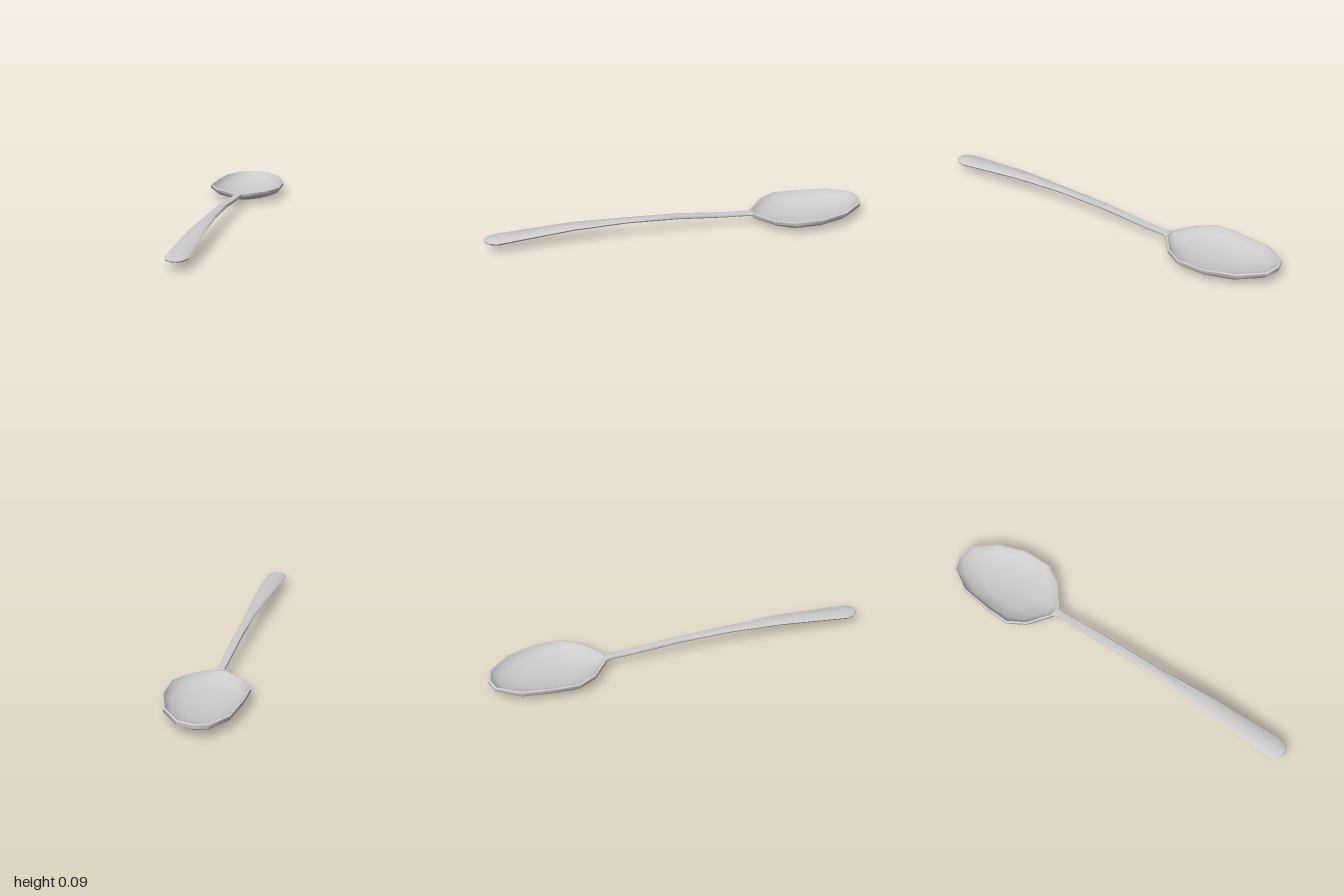
import * as THREE from 'three';
import { toCreasedNormals } from 'three/addons/utils/BufferGeometryUtils.js';

const material = new THREE.MeshStandardMaterial({ color: 0xcccccc });

// Skin a list of equal-length rings; a ring of identical points closes an end.
function loft(name, rings, crease) {
  const n = rings[0].length;
  const index = [];
  const same = (p, q) => p.every((v, k) => v === q[k]);
  for (let i = 0; i < rings.length - 1; i++) {
    for (let j = 0; j < n; j++) {
      const k = (j + 1) % n;
      const a = i * n + j, b = i * n + k, c = a + n, d = b + n;
      if (!same(rings[i][j], rings[i][k])) index.push(a, c, b);
      if (!same(rings[i + 1][j], rings[i + 1][k])) index.push(b, c, d);
    }
  }
  const geometry = new THREE.BufferGeometry();
  geometry.setAttribute('position', new THREE.Float32BufferAttribute(rings.flat(2), 3));
  geometry.setIndex(index);
  const mesh = new THREE.Mesh(toCreasedNormals(geometry, crease), material);
  mesh.name = name;
  return mesh;
}

// Bowl: one rim outline, shrunk and lowered for the outside, then the inside.
function createBowl() {
  const centreZ = -0.67;
  // x, z, rim height
  const rim = [
    [-0.03, -1, 0.075], [0.05, -0.98, 0.075], [0.145, -0.87, 0.073], [0.195, -0.72, 0.071],
    [0.195, -0.57, 0.07], [0.14, -0.48, 0.066], [0.022, -0.388, 0.063], [-0.027, -0.388, 0.063],
    [-0.145, -0.48, 0.066], [-0.197, -0.57, 0.07], [-0.193, -0.7, 0.071],
    [-0.17, -0.87, 0.073], [-0.1, -0.98, 0.075],
  ];
  // scale of the outline, fraction of the rim height
  const profile = [
    [0, 0], [0.54, 0.03], [0.9, 0.46], [0.995, 0.72], [1, 0.97],
    [0.96, 1], [0.92, 0.8], [0.82, 0.52], [0.52, 0.24], [0, 0.17],
  ];
  const rings = profile.map(([s, h]) =>
    rim.map(([x, z, y]) => [x * s, (s ? y : 0.07) * h, centreZ + (z - centreZ) * s]));
  return loft('bowl', rings, 0.9);
}

// Handle: flat-topped section with a rounded underside, swept along an arch.
function createHandle() {
  const section = [
    [0, 0.5], [0.82, 0.44], [1, 0.1], [0.88, -0.3], [0.45, -0.5],
    [-0.45, -0.5], [-0.88, -0.3], [-1, 0.1], [-0.82, 0.44],
  ];
  // z, bottom, top, half width
  const stations = [
    [-0.402, 0.043, 0.063, 0.03], [-0.37, 0.046, 0.065, 0.021], [-0.25, 0.05, 0.07, 0.021],
    [0, 0.068, 0.09, 0.023], [0.27, 0.076, 0.095, 0.026], [0.55, 0.073, 0.093, 0.043],
    [0.8, 0.051, 0.074, 0.052], [0.93, 0.039, 0.064, 0.057], [0.975, 0.041, 0.062, 0.045],
    [0.997, 0.045, 0.058, 0.018],
  ];
  const rings = stations.map(([z, low, high, w]) =>
    section.map(([x, y]) => [x * w, (low + high) / 2 + y * (high - low), z]));
  const cap = (z, y) => section.map(() => [0, y, z]);
  rings.unshift(cap(-0.402, 0.053));
  rings.push(cap(1, 0.052));
  return loft('handle', rings, 0.9);
}

export function createModel() {
  const group = new THREE.Group();
  group.name = 'spoon';
  group.add(createBowl(), createHandle());
  return group;
}
